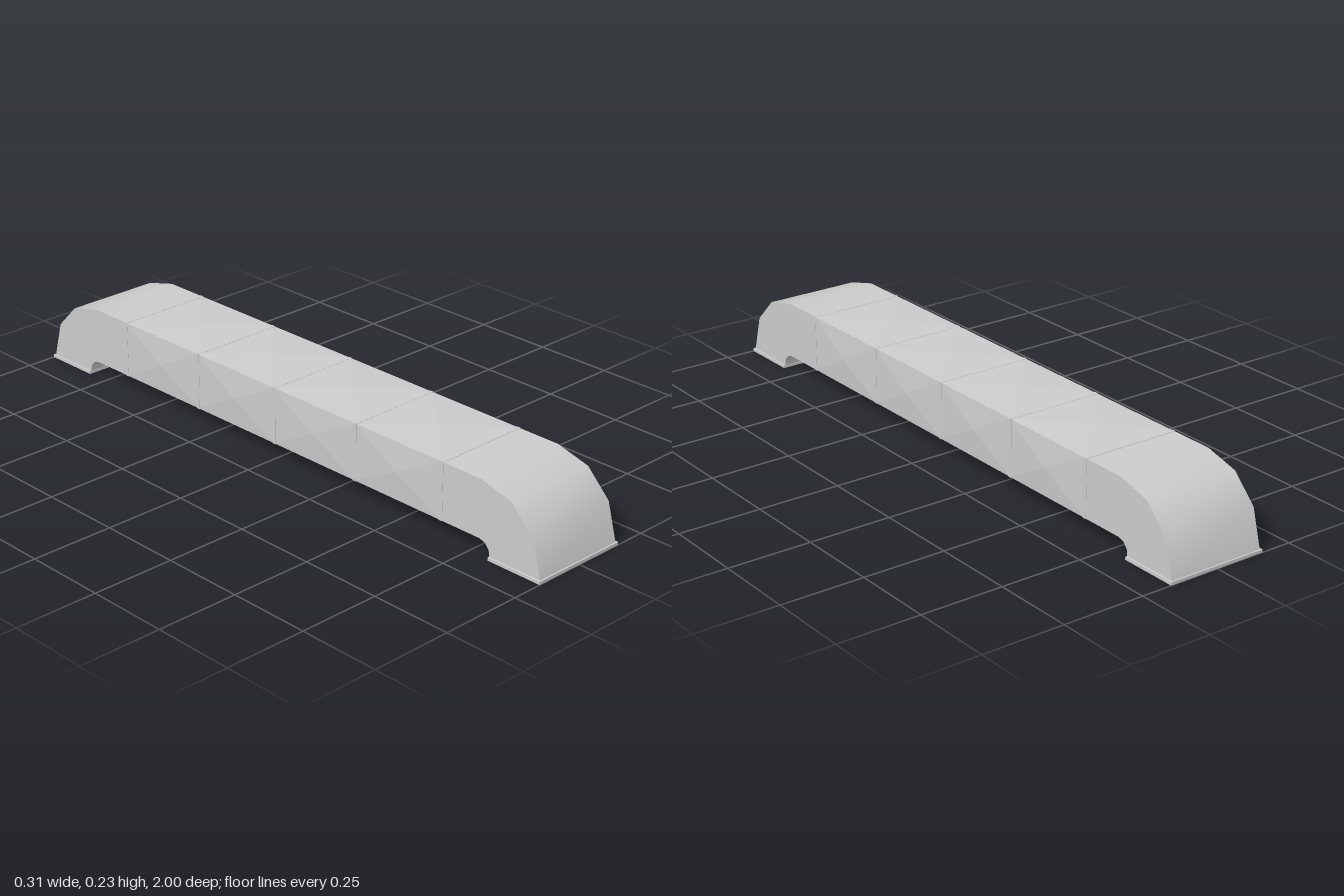
import * as THREE from 'three';
import { toCreasedNormals } from 'three/addons/utils/BufferGeometryUtils.js';
import { ConvexGeometry } from 'three/addons/geometries/ConvexGeometry.js';

const HALF_W = 0.15, BOTTOM = 0.05, TOP = 0.222, BULGE = 0.008;
const MID = (BOTTOM + TOP) / 2;
const SECTION = 0.3225; // length of one straight section

const grey = new THREE.MeshStandardMaterial({ color: 0xcccccc });
const flatGrey = new THREE.MeshStandardMaterial({ color: 0xcccccc, flatShading: true });

function add(parent, name, geometry, material, x = 0, y = 0, z = 0) {
  const mesh = new THREE.Mesh(geometry, material);
  mesh.name = name;
  mesh.position.set(x, y, z);
  parent.add(mesh);
  return mesh;
}

// Straight duct section: a box whose four walls rise to a shallow centre point
function sectionGeometry() {
  const h = (TOP - BOTTOM) / 2;
  const points = [];
  for (const x of [-HALF_W, HALF_W])
    for (const y of [-h, h])
      for (const z of [-SECTION / 2, SECTION / 2]) points.push(new THREE.Vector3(x, y, z));
  for (const s of [-1, 1]) {
    points.push(new THREE.Vector3(s * (HALF_W + BULGE - 0.001), 0, 0));
    points.push(new THREE.Vector3(0, s * (h + BULGE), 0));
  }
  return new ConvexGeometry(points);
}

// Elbow: side profile in (z, y), extruded across the duct's width
function elbowGeometry() {
  const profile = [
    [2 * SECTION, BOTTOM], [0.785, BOTTOM], [0.805, 0.043], [0.818, 0.028], [0.822, 0],
    [0.998, 0], [0.965, 0.12], [0.89, 0.195], [0.785, TOP], [2 * SECTION, TOP],
  ];
  const shape = new THREE.Shape(profile.map(([z, y]) => new THREE.Vector2(z, y)));
  const geometry = new THREE.ExtrudeGeometry(shape, { depth: 2 * HALF_W, bevelEnabled: false });
  geometry.translate(0, 0, -HALF_W);
  geometry.rotateY(-Math.PI / 2);
  return toCreasedNormals(geometry, 0.6);
}

export function createModel() {
  const model = new THREE.Group();
  model.name = 'airDuct';

  // Four straight sections
  const section = sectionGeometry();
  for (let i = 0; i < 4; i++)
    add(model, 'ductSection', section, flatGrey, 0, MID, (i - 1.5) * SECTION);

  // Thin joint bands between sections
  const band = new THREE.BoxGeometry(2 * HALF_W + 0.002, TOP - BOTTOM + 0.002, 0.012);
  for (let i = -2; i <= 2; i++) add(model, 'jointBand', band, flatGrey, 0, MID, i * SECTION);

  // Downturned elbow with a base flange at each end
  const elbow = elbowGeometry();
  const flange = new THREE.BoxGeometry(0.312, 0.009, 0.18);
  for (const [name, turn] of [['frontEnd', 0], ['backEnd', Math.PI]]) {
    const end = new THREE.Group();
    end.name = name;
    end.rotation.y = turn;
    add(end, 'elbow', elbow, grey);
    add(end, 'baseFlange', flange, flatGrey, 0, 0.0045, 0.91);
    model.add(end);
  }
  return model;
}
